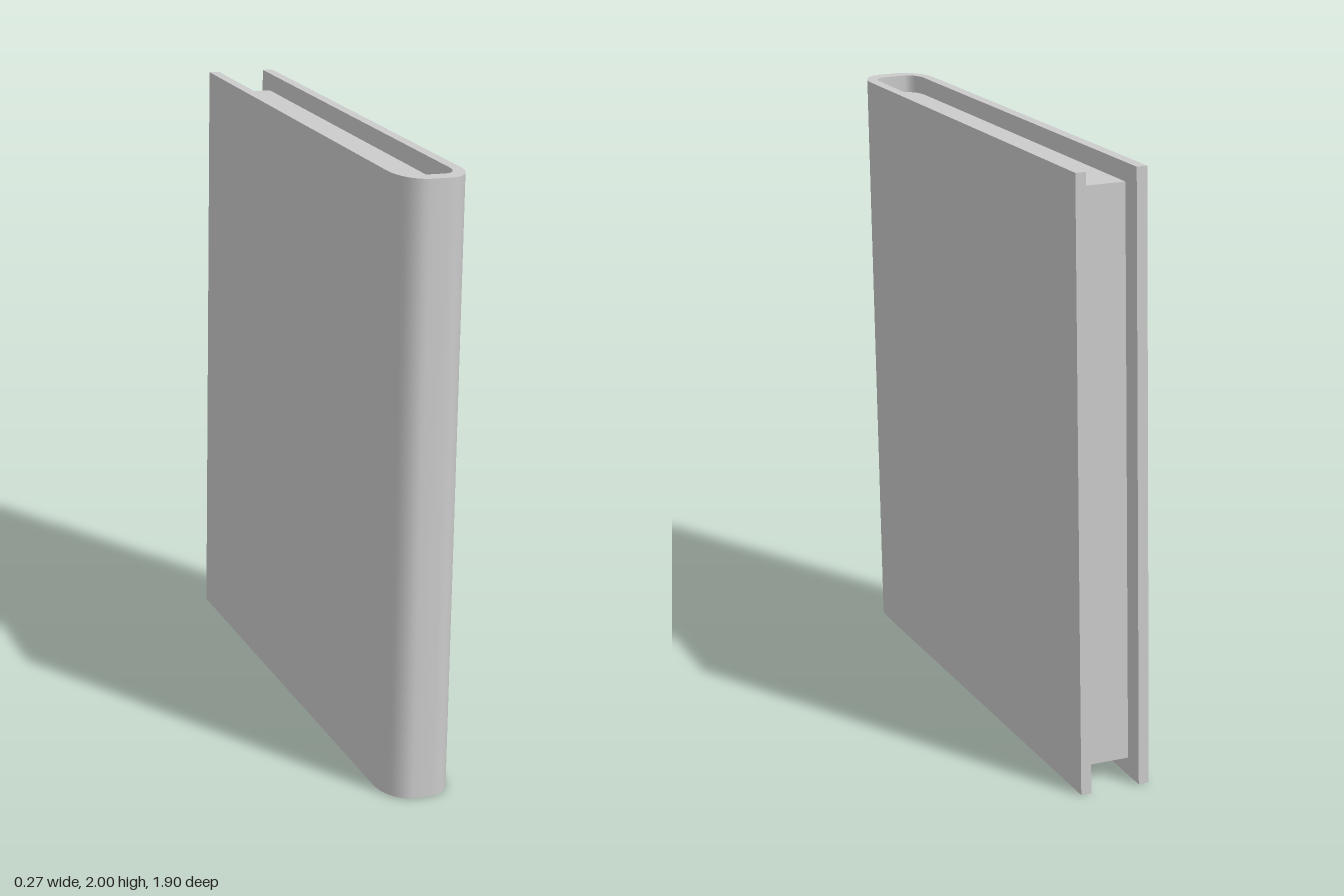
import * as THREE from 'three';
import { toCreasedNormals } from 'three/addons/utils/BufferGeometryUtils.js';

const TILT = 0.019;      // slight lean to the side
const HEIGHT = 1.9955;
const HALF = 0.1175;     // half of the cover's thickness
const BOARD = 0.035;     // thickness of one cover board

// Runs from the back of one side, round the spine, to the back of the other.
function traceU(path, w, front, back, rx, rz) {
  path.lineTo(w, front - rz);
  path.bezierCurveTo(w, front - rz * 0.45, w - rx * 0.45, front, w - rx, front);
  path.lineTo(-w + rx, front);
  path.bezierCurveTo(-w + rx * 0.45, front, -w, front - rz * 0.45, -w, front - rz);
  path.lineTo(-w, back);
}

// Extrudes a plan outline (x, z) upwards, centred on the height.
function upright(name, shape, height, material) {
  const flat = new THREE.ExtrudeGeometry(shape, { depth: height, bevelEnabled: false, curveSegments: 8 });
  flat.translate(0, 0, -height / 2);
  flat.rotateX(Math.PI / 2);
  const mesh = new THREE.Mesh(toCreasedNormals(flat, 0.6), material);
  mesh.name = name;
  return mesh;
}

export function createModel() {
  const material = new THREE.MeshStandardMaterial({ color: 0xcccccc });
  const inner = HALF - BOARD;

  // Cover: two boards joined by a rounded spine
  const cover = new THREE.Shape();
  cover.moveTo(HALF, -0.95);
  traceU(cover, HALF, 0.95, -0.95, 0.085, 0.14);
  const inside = new THREE.Path();
  inside.moveTo(inner, -0.95);
  traceU(inside, inner, 0.89, -0.95, 0.045, 0.08);
  for (const p of inside.getPoints(8).reverse()) cover.lineTo(p.x, p.y);

  // Pages: fill the cover, set in at the top, bottom and fore edge
  const pages = new THREE.Shape();
  pages.moveTo(inner, -0.87);
  traceU(pages, inner, 0.89, -0.87, 0.045, 0.08);

  const book = new THREE.Group();
  book.name = 'book';
  book.add(
    upright('cover', cover, HEIGHT, material),
    upright('pages', pages, HEIGHT - 0.12, material),
  );
  book.rotation.z = -TILT;
  book.position.y = 1;

  const model = new THREE.Group();
  model.name = 'leaningBook';
  model.add(book);
  return model;
}
